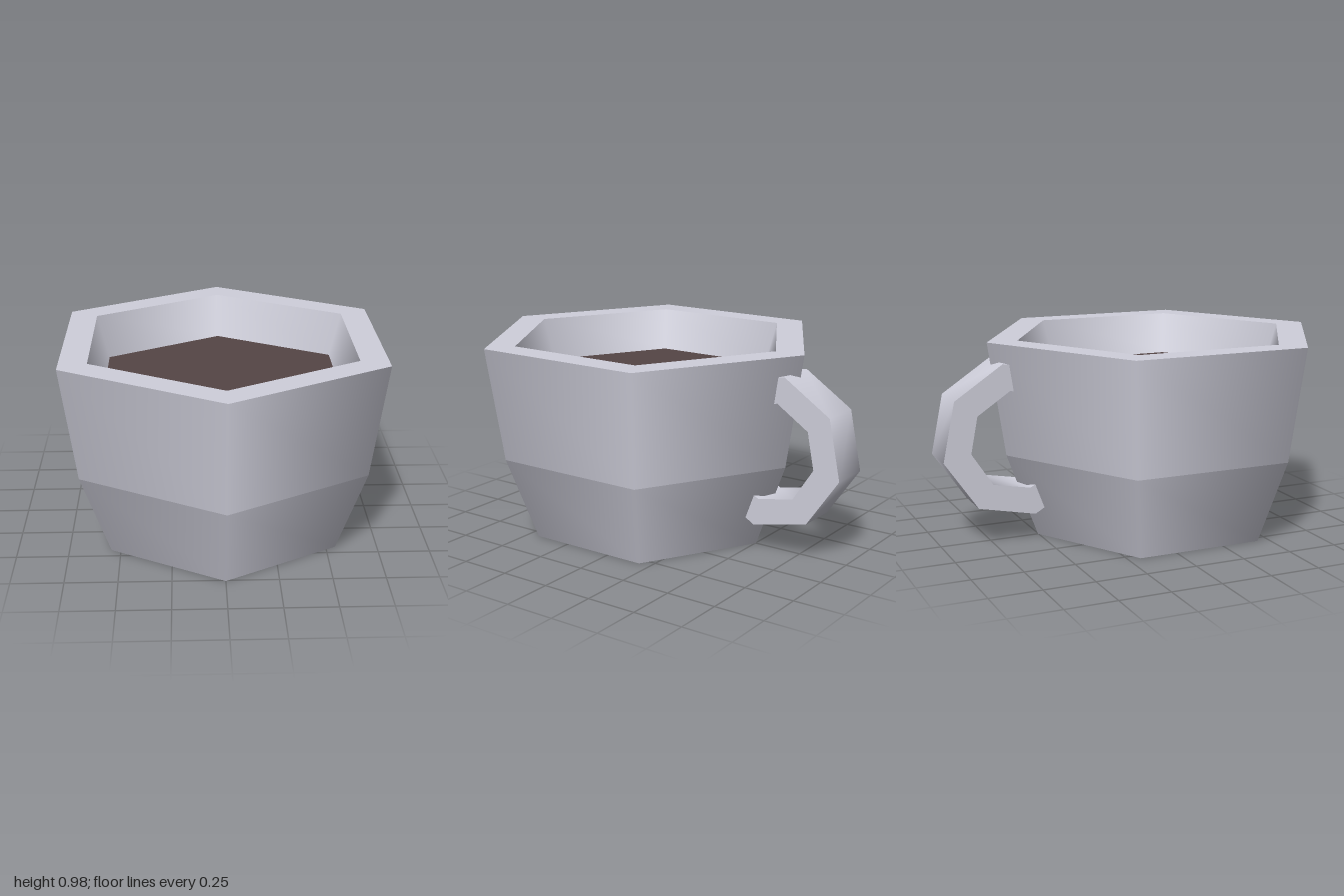
import * as THREE from 'three';
import { toCreasedNormals } from 'three/addons/utils/BufferGeometryUtils.js';

const CUP_Z = 0.127; // the cup sits forward of the centre to make room for the handle

export function createModel() {
  const ceramic = new THREE.MeshStandardMaterial({ color: 0xcfcfdb });
  ceramic.name = 'ceramic';
  const coffee = new THREE.MeshStandardMaterial({ color: 0x544545 });
  coffee.name = 'coffee';

  const group = new THREE.Group();
  group.name = 'coffeeCup';

  // Six-sided band between two [radius, height] rings, with a corner facing +z
  const band = (name, from, to, material) => {
    const points = [from, to].map(([r, y]) => new THREE.Vector2(r, y));
    const mesh = new THREE.Mesh(new THREE.LatheGeometry(points, 6), material);
    mesh.name = name;
    mesh.position.z = CUP_Z;
    group.add(mesh);
  };

  // Cup, from the base up the outside, over the rim and down the inside
  band('base', [0, 0], [0.63, 0], ceramic);
  band('lowerWall', [0.63, 0], [0.785, 0.42], ceramic);
  band('upperWall', [0.785, 0.42], [0.87, 0.98], ceramic);
  band('rim', [0.87, 0.98], [0.717, 0.98], ceramic);
  band('innerWall', [0.717, 0.98], [0.65, 0.77], ceramic);
  band('coffeeSurface', [0.65, 0.77], [0, 0.77], coffee);

  // Handle: side outline as [z, y], extruded across x
  const outline = [
    [-0.70, 0.89], [-0.94, 0.73], [-1.0, 0.44], [-0.835, 0.20], [-0.55, 0.14],
    [-0.50, 0.17], [-0.545, 0.29], [-0.575, 0.275], [-0.76, 0.31], [-0.865, 0.47],
    [-0.83, 0.65], [-0.665, 0.76], [-0.645, 0.755], [-0.665, 0.885],
  ];
  const shape = new THREE.Shape(outline.map(([z, y]) => new THREE.Vector2(z, y)));
  const width = 0.21;
  const handleGeometry = new THREE.ExtrudeGeometry(shape, { depth: width, bevelEnabled: false });
  handleGeometry.rotateY(-Math.PI / 2).translate(width / 2, 0, 0);
  const handle = new THREE.Mesh(toCreasedNormals(handleGeometry, 0.95), ceramic);
  handle.name = 'handle';
  group.add(handle);

  return group;
}
